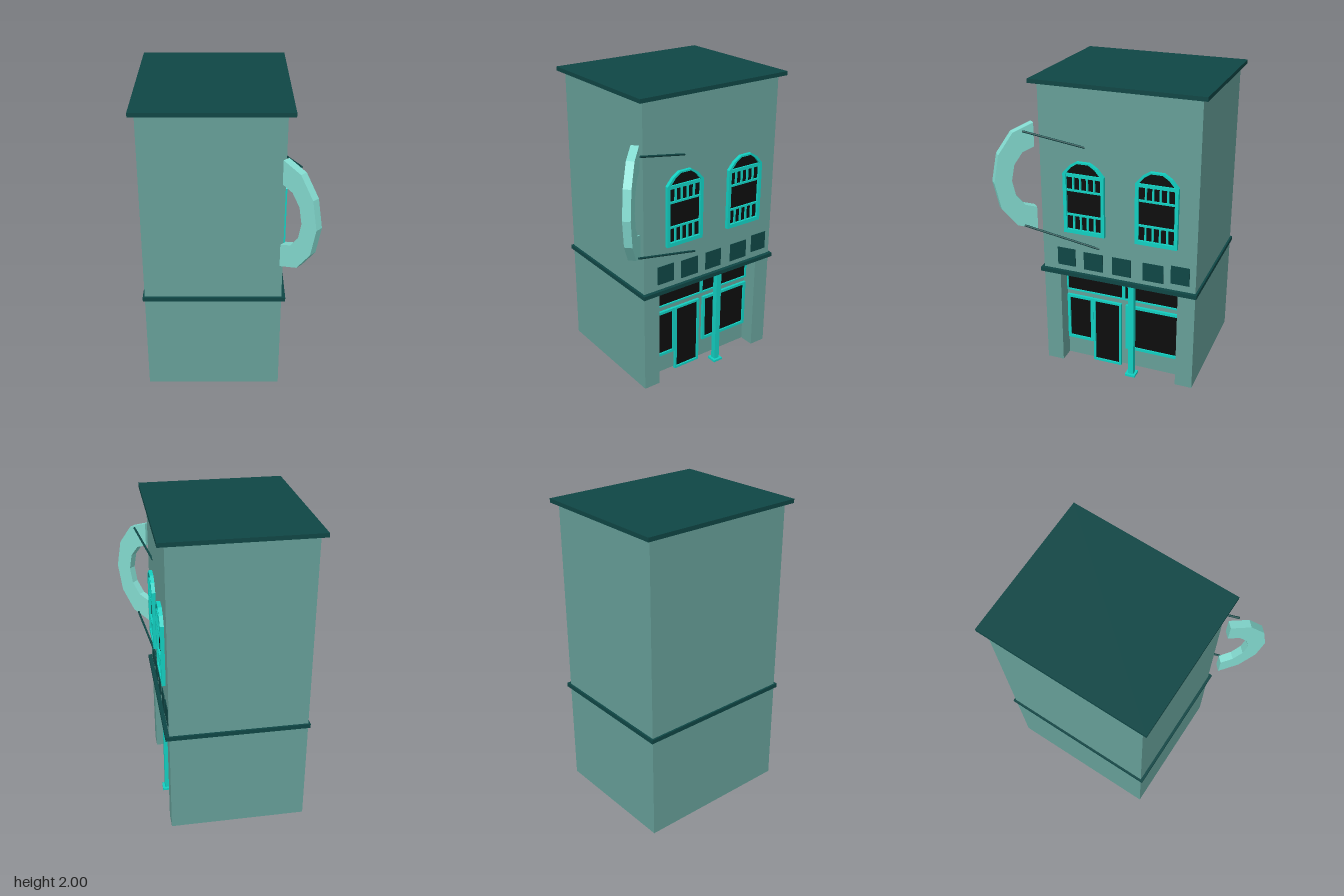
import * as THREE from 'three';

const mat = (name, color) => {
  const m = new THREE.MeshStandardMaterial({ color });
  m.name = name;
  return m;
};

export function createModel() {
  const wall = mat('wallTeal', 0x669f98);
  const dark = mat('darkTrim', 0x0f4645);
  const trim = mat('brightTrim', 0x12d0c2);
  const glass = mat('blackGlass', 0x0d0d0d);
  const pale = mat('paleSign', 0x84dcd1);
  const model = new THREE.Group();
  model.name = 'cornerShop';

  const add = (name, geo, m, parent = model) => {
    const mesh = new THREE.Mesh(geo, m);
    mesh.name = name;
    parent.add(mesh);
    return mesh;
  };
  const group = (name) => {
    const g = new THREE.Group();
    g.name = name;
    model.add(g);
    return g;
  };
  // Box given by its limits on each axis
  const box = (name, m, [x0, x1], [y0, y1], [z0, z1], parent) => {
    const geo = new THREE.BoxGeometry(x1 - x0, y1 - y0, z1 - z0);
    geo.translate((x0 + x1) / 2, (y0 + y1) / 2, (z0 + z1) / 2);
    return add(name, geo, m, parent);
  };
  const pts = (list) => list.map(([x, y]) => new THREE.Vector2(x, y));

  // Lower storey: footprint notched on the shop side
  const plan = new THREE.Shape(pts([
    [-0.525, -0.42], [0.355, -0.42], [0.355, -0.305], [0.25, -0.305],
    [0.25, 0.505], [0.355, 0.505], [0.355, 0.62], [-0.525, 0.62],
  ]));
  const lower = new THREE.ExtrudeGeometry(plan, { depth: 0.69, bevelEnabled: false });
  lower.rotateX(-Math.PI / 2).translate(0, 0.015, 0);
  add('lowerStorey', lower, wall);

  // Upper storey, ledge and roof
  box('upperStorey', wall, [-0.525, 0.355], [0.715, 1.98], [-0.62, 0.42]);
  box('ledge', dark, [-0.537, 0.38], [0.7, 0.727], [-0.633, 0.437]);
  box('roofSlab', dark, [-0.56, 0.398], [1.974, 2], [-0.655, 0.463]);

  // Arched upper windows
  const arch = (w, y0, y1, y2) => pts([
    [-w, y0], [w, y0], [w, y1], [w * 0.68, y1 + (y2 - y1) * 0.62], [w * 0.32, y2],
    [-w * 0.32, y2], [-w * 0.68, y1 + (y2 - y1) * 0.62], [-w, y1],
  ]);
  const facing = (shape, depth, x, z) => new THREE.ExtrudeGeometry(shape, { depth, bevelEnabled: false })
    .rotateY(Math.PI / 2).translate(x, 0, z);
  for (const z of [0.12, -0.36]) {
    const w = group('archedWindow');
    const frame = new THREE.Shape(arch(0.138, 1.016, 1.42, 1.503));
    frame.holes.push(new THREE.Path(arch(0.116, 1.042, 1.42, 1.492).reverse()));
    add('windowFrame', facing(frame, 0.025, 0.354, z), trim, w);
    add('windowGlass', facing(new THREE.Shape(arch(0.125, 1.03, 1.42, 1.497)), 0.008, 0.354, z), glass, w);
    for (const [y, h] of [[1.409, 0.022], [1.309, 0.012], [1.143, 0.012]]) {
      box('windowRail', trim, [0.356, 0.374], [y - h / 2, y + h / 2], [z - 0.12, z + 0.12], w);
    }
    for (let i = -2; i < 3; i++) {
      if (i === 2) continue;
      const c = z + (i + 0.5) * 0.047;
      for (const [y0, y1] of [[1.04, 1.14], [1.31, 1.4]]) {
        box('windowBar', trim, [0.356, 0.372], [y0, y1], [c - 0.006, c + 0.006], w);
      }
    }
  }

  // Square plaques above the ledge
  for (const [z, y, s] of [[0.255, 0.827, 0.125], [0.067, 0.82, 0.133], [-0.127, 0.82, 0.127],
    [-0.34, 0.82, 0.137], [-0.518, 0.835, 0.123]]) {
    box('plaque', dark, [0.354, 0.36], [y - 0.062, y + 0.062], [z - s / 2, z + s / 2]);
  }

  // Shop front panels in the recess: a frame with glass set inside it
  const panel = (name, [y0, y1], [z0, z1], t) => {
    const g = group(name);
    const x = [0.248, 0.268];
    box('frameTop', trim, x, [y1 - t, y1], [z0, z1], g);
    box('frameBottom', trim, x, [y0, y0 + t], [z0, z1], g);
    box('frameSide', trim, x, [y0 + t, y1 - t], [z0, z0 + t], g);
    box('frameSide', trim, x, [y0 + t, y1 - t], [z1 - t, z1], g);
    box('glass', glass, [0.249, 0.257], [y0 + t / 2, y1 - t / 2], [z0 + t / 2, z1 - t / 2], g);
  };
  panel('transomLeft', [0.528, 0.667], [-0.107, 0.302], 0.009);
  panel('transomRight', [0.528, 0.667], [-0.505, -0.108], 0.009);
  panel('shopWindowLeft', [0.15, 0.49], [0.114, 0.302], 0.019);
  panel('shopWindowRight', [0.15, 0.49], [-0.505, -0.122], 0.019);
  panel('shopDoor', [0.003, 0.489], [-0.09, 0.113], 0.015);

  // Free-standing column under the ledge
  const column = group('column');
  const square = (name, r, y0, y1) => box(name, trim, [0.332 - r, 0.332 + r], [y0, y1], [-0.19 - r, -0.19 + r], column);
  square('columnShaft', 0.019, 0.012, 0.69);
  square('columnBase', 0.035, 0, 0.015);
  square('columnCapital', 0.027, 0.685, 0.702);

  // Crescent sign standing diagonally off the corner
  const half = (ru, ry) => Array.from({ length: 7 }, (_, i) => {
    const a = -Math.PI / 2 + (i * Math.PI) / 6;
    return [ru * Math.cos(a), ry * Math.sin(a)];
  });
  const crescent = new THREE.Shape(pts([...half(0.268, 0.36), ...half(0.155, 0.205).reverse()]));
  const signGeo = new THREE.ExtrudeGeometry(crescent, { depth: 0.05, bevelEnabled: false });
  signGeo.translate(0, 0, -0.025);
  const sign = add('crescentSign', signGeo, pale);
  sign.rotation.y = -Math.PI / 4;
  sign.position.set(0.348, 1.36, 0.468);

  // Stay rods from the wall to the sign
  const rod = (a, b) => {
    const p = new THREE.Vector3(...a), q = new THREE.Vector3(...b);
    const mesh = add('stayRod', new THREE.CylinderGeometry(0.007, 0.007, p.distanceTo(q), 8), dark);
    mesh.position.copy(p).add(q).multiplyScalar(0.5);
    mesh.quaternion.setFromUnitVectors(new THREE.Vector3(0, 1, 0), q.sub(p).normalize());
  };
  rod([0.352, 1.594, 0.115], [0.435, 1.68, 0.49]);
  rod([0.352, 0.92, 0.025], [0.432, 1.042, 0.51]);

  return model;
}
